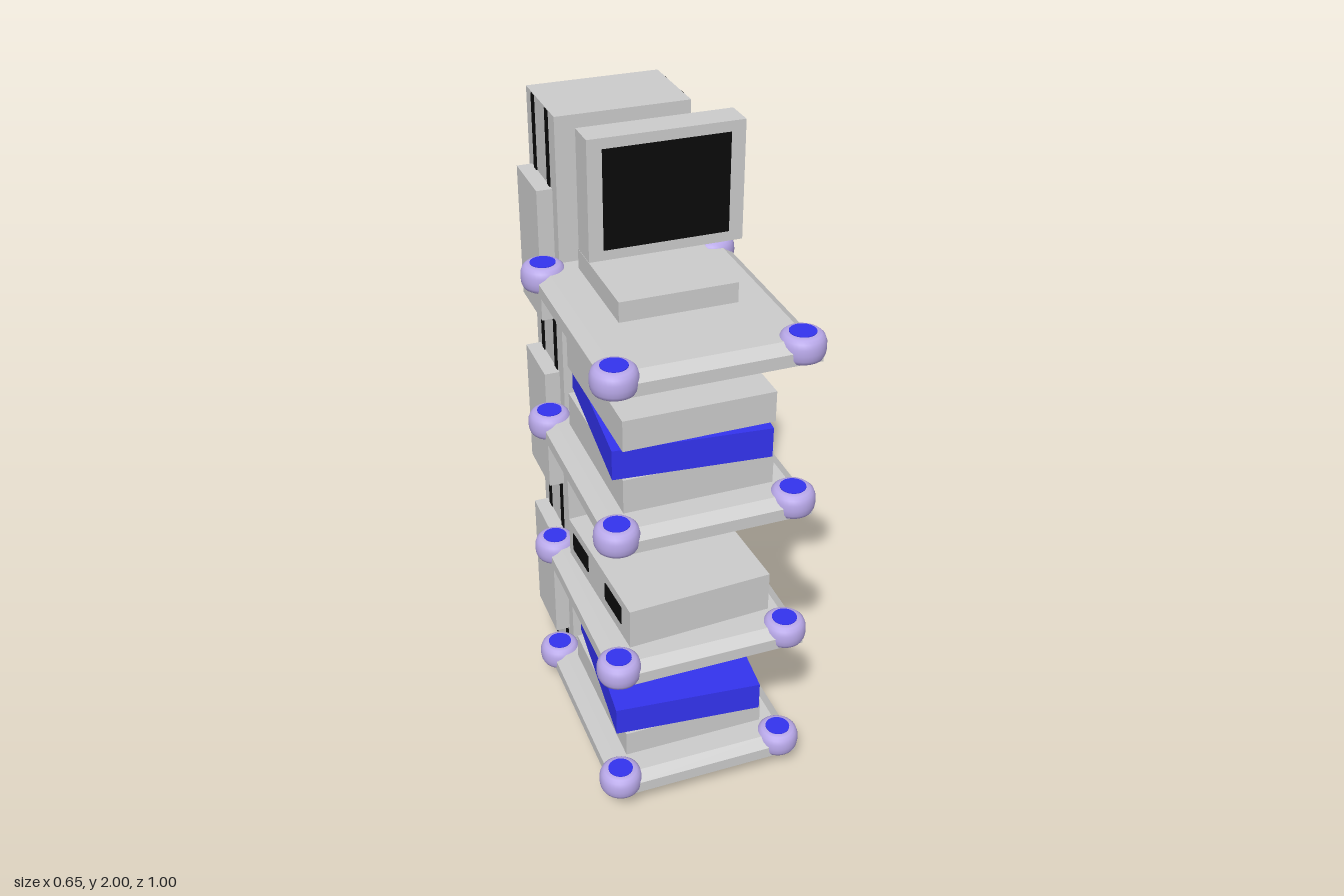
import * as THREE from 'three';

const grey = new THREE.MeshStandardMaterial({ color: 0xcccccc });
const blue = new THREE.MeshStandardMaterial({ color: 0x3333ee });
const black = new THREE.MeshStandardMaterial({ color: 0x0a0a0a });
const lilac = new THREE.MeshStandardMaterial({ color: 0xb8a8e8 });

// Box given by its extents [min, max] on each axis
function box(parent, name, [x0, x1], [y0, y1], [z0, z1], material = grey) {
  const mesh = new THREE.Mesh(new THREE.BoxGeometry(x1 - x0, y1 - y0, z1 - z0), material);
  mesh.position.set((x0 + x1) / 2, (y0 + y1) / 2, (z0 + z1) / 2);
  mesh.name = name;
  parent.add(mesh);
  return mesh;
}

// Slab whose upper edge slopes inwards
function shelfGeometry(w, h, d, inset) {
  const geo = new THREE.BoxGeometry(w, h, d, 1, 2, 1).toNonIndexed();
  const p = geo.attributes.position;
  for (let i = 0; i < p.count; i++) {
    const y = p.getY(i);
    if (y > h * 0.4) {
      p.setX(i, p.getX(i) - Math.sign(p.getX(i)) * inset);
      p.setZ(i, p.getZ(i) - Math.sign(p.getZ(i)) * inset);
    } else if (y > -h * 0.4) p.setY(i, h * 0.12);
  }
  geo.computeVertexNormals();
  return geo;
}

// Rounded bumper with a coloured cap disc
const bumperProfile = [[0, 0], [0.05, 0], [0.058, 0.005], [0.063, 0.016], [0.065, 0.032],
  [0.064, 0.05], [0.059, 0.064], [0.05, 0.072], [0.037, 0.075], [0, 0.075]]
  .map(([r, y]) => new THREE.Vector2(r, y));
const bumperGeo = new THREE.LatheGeometry(bumperProfile, 32);
const capGeo = new THREE.CylinderGeometry(0.037, 0.037, 0.003, 32);
const plateGeo = shelfGeometry(0.59, 0.06, 0.705, 0.033);

function shelf(y) {
  const group = new THREE.Group();
  group.name = 'shelf';
  const plate = new THREE.Mesh(plateGeo, grey);
  plate.name = 'shelfPlate';
  plate.position.set(0.005, 0.03, 0.1225);
  group.add(plate);
  for (const x of [-0.26, 0.258]) for (const z of [-0.19, 0.43]) {
    const bumper = new THREE.Mesh(bumperGeo, lilac);
    bumper.name = 'cornerBumper';
    bumper.position.set(x, 0, z);
    const cap = new THREE.Mesh(capGeo, blue);
    cap.name = 'bumperCap';
    cap.position.set(x, 0.0755, z);
    group.add(bumper, cap);
  }
  group.position.y = y;
  return group;
}

export function createModel() {
  const model = new THREE.Group();
  model.name = 'equipmentCart';

  // Rear column with side rails
  box(model, 'column', [-0.2, 0.2], [0, 1.97], [-0.5, -0.23]);
  for (const x of [-0.2, 0.2]) for (const z of [-0.3, -0.432])
    box(model, 'rail', [x - 0.003, x + 0.003], [0.002, 1.968], [z - 0.013, z + 0.013], black);

  // Side boxes on the column
  for (const y of [0.14, 0.74, 1.335]) {
    box(model, 'leftSideBox', [0.2, 0.273], [y, y + 0.41], [-0.472, -0.272]);
    box(model, 'rightSideBox', [-0.247, -0.2], [y, y + 0.41], [-0.472, -0.272]);
  }

  for (const y of [0.09, 0.53, 1.0, 1.49]) model.add(shelf(y));

  // Stacked units, the blue ones set at a slight angle
  const unitX = [-0.22, 0.223], unitZ = [-0.115, 0.37];
  const blueUnit = (y0, y1) => {
    box(model, 'blueUnit', [-0.224, 0.229], [y0, y1], [-0.12, 0.38], blue).rotation.y = -0.095;
  };
  box(model, 'bottomUnit', unitX, [0.148, 0.235], unitZ);
  blueUnit(0.235, 0.328);
  box(model, 'middleUnit', unitX, [1.058, 1.168], unitZ);
  blueUnit(1.168, 1.26);
  box(model, 'topUnit', unitX, [1.26, 1.355], unitZ);

  // Unit with dark side windows
  const windowed = new THREE.Group();
  windowed.name = 'windowedUnit';
  box(windowed, 'windowedUnitBody', [-0.223, 0.223], [0.588, 0.72], [-0.246, 0.246]);
  for (const x of [-0.223, 0.223]) for (const z of [0.12, -0.145])
    box(windowed, 'sideWindow', [x - 0.003, x + 0.003], [0.63, 0.69], [z - 0.063, z + 0.063], black);
  windowed.position.z = 0.127;
  windowed.rotation.y = 0.053;
  model.add(windowed);

  // Monitor on its stand
  box(model, 'monitorBase', [-0.167, 0.175], [1.548, 1.61], [-0.15, 0.198]);
  box(model, 'monitorNeck', [-0.043, 0.05], [1.61, 1.83], [-0.148, -0.055]);
  box(model, 'monitorFrame', [-0.194, 0.252], [1.655, 2], [-0.055, 0.036]);
  box(model, 'screen', [-0.152, 0.21], [1.685, 1.97], [0.03, 0.039], black);

  return model;
}
